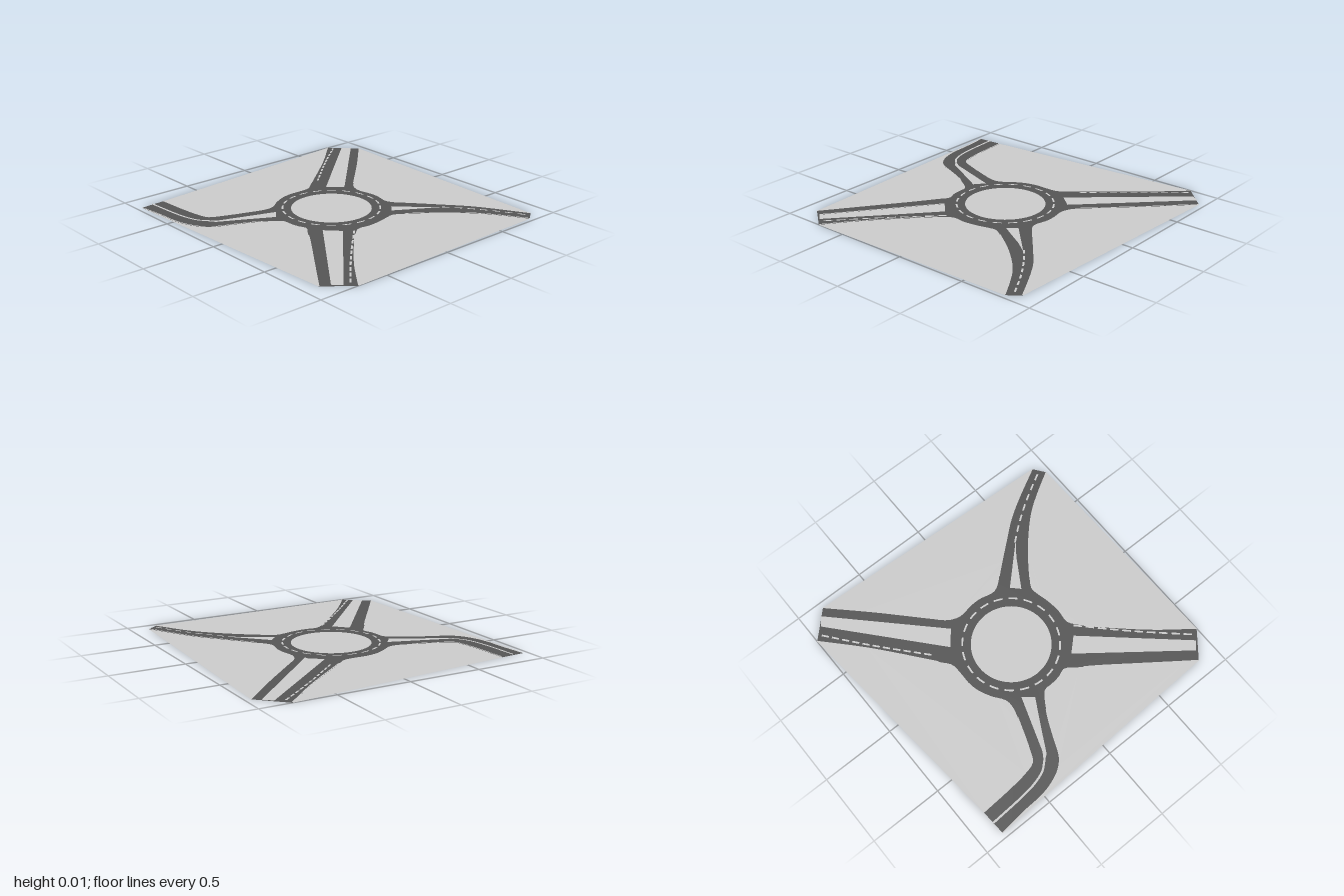
import * as THREE from 'three';

const material = (color) => new THREE.MeshStandardMaterial({ color, side: THREE.DoubleSide });
const grey = material(0xcccccc);
const dark = material(0x555555);
const white = material(0xffffff);
const CENTER = new THREE.Vector2(-0.03, -0.02);

// Points are written as [x, z]
const vec = (list) => list.map(([x, z]) => new THREE.Vector2(x, z));

// Smooth curve through a list of points, as evenly spaced samples
function smooth(list, n = 80) {
  const curve = new THREE.CatmullRomCurve3(list.map(([x, z]) => new THREE.Vector3(x, 0, z)));
  return curve.getSpacedPoints(n).map((p) => new THREE.Vector2(p.x, p.z));
}

// Horizontal flat sheet bounded by points
function sheet(name, points, y, mat) {
  const shape = new THREE.Shape(points.map((p) => new THREE.Vector2(p.x, -p.y)));
  const geo = new THREE.ShapeGeometry(shape).rotateX(-Math.PI / 2).translate(0, y, 0);
  const mesh = new THREE.Mesh(geo, mat);
  mesh.name = name;
  return mesh;
}

// Strip of constant width along a row of points
function ribbon(name, pts, width, mat, y = 0.006) {
  const sides = [[], []];
  pts.forEach((p, i) => {
    const a = pts[Math.max(i - 1, 0)], b = pts[Math.min(i + 1, pts.length - 1)];
    const d = b.clone().sub(a).normalize().multiplyScalar(width / 2);
    sides[0].push(new THREE.Vector2(p.x - d.y, p.y + d.x));
    sides[1].push(new THREE.Vector2(p.x + d.y, p.y - d.x));
  });
  return sheet(name, [...sides[0], ...sides[1].reverse()], y, mat);
}

// Row of painted dashes along a path
function dashes(name, list, count, fill = 0.6) {
  const group = new THREE.Group();
  group.name = name;
  const n = 10;
  const pts = smooth(list, count * n);
  for (let i = 0; i < count; i++) {
    group.add(ribbon('dash', pts.slice(i * n, i * n + Math.round(n * fill) + 1), 0.012, white));
  }
  return group;
}

const circle = (r, n) => Array.from({ length: n }, (_, i) => {
  const a = (i / n) * Math.PI * 2;
  return new THREE.Vector2(CENTER.x + r * Math.cos(a), CENTER.y + r * Math.sin(a));
});

export function createModel() {
  const model = new THREE.Group();
  model.name = 'roundabout';

  // Outer road edges, each running from one arm's end to the next arm's end
  const borders = {
    back: [[-.79, -.86], [-.775, -.62], [-.76, -.5], [-.735, -.42], [-.655, -.38], [-.52, -.33],
      [-.37, -.285], [-.31, -.29], [-.23, -.345], [-.15, -.385], [-.07, -.403], [.03, -.403],
      [.1, -.41], [.165, -.46], [.27, -.545], [.4, -.65], [.56, -.785], [.79, -1]],
    left: [[.96, -.83], [.72, -.585], [.56, -.43], [.43, -.305], [.365, -.24], [.335, -.16],
      [.35, -.05], [.35, .02], [.33, .12], [.35, .17], [.42, .25], [.56, .415], [.675, .555],
      [.76, .69], [.88, .91]],
    front: [[.8, .97], [.72, .835], [.64, .715], [.56, .625], [.43, .505], [.32, .42], [.19, .335],
      [.14, .34], [.06, .36], [-.05, .372], [-.14, .365], [-.205, .41], [-.39, .6], [-.55, .78],
      [-.72, 1]],
    right: [[-.895, .86], [-.79, .715], [-.655, .53], [-.52, .345], [-.42, .2], [-.38, .14],
      [-.4, .08], [-.41, 0], [-.41, -.045], [-.445, -.08], [-.55, -.145], [-.68, -.205],
      [-.815, -.265], [-.87, -.32], [-.91, -.4], [-.935, -.5], [-.945, -.66], [-.965, -.85]],
  };

  // Ground between the arms, with painted edge lines along each arm
  const roadOutline = [];
  for (const [side, list] of Object.entries(borders)) {
    const edge = smooth(list);
    roadOutline.push(...edge);
    model.add(sheet(`${side}Ground`, edge, 0, grey));
    const isRing = (p) => p.distanceTo(CENTER) < 0.48;
    const first = edge.findIndex(isRing);
    const last = edge.length - [...edge].reverse().findIndex(isRing);
    model.add(ribbon(`${side}EdgeLineA`, edge.slice(0, first), 0.007, white, 0.004));
    model.add(ribbon(`${side}EdgeLineB`, edge.slice(last), 0.007, white, 0.004));
  }

  // Asphalt for the ring and the four arms
  model.add(sheet('asphalt', roadOutline, 0, dark));

  // Islands
  model.add(sheet('centralIsland', circle(0.266, 64), 0.003, grey));
  const medians = {
    backRightMedian: [[-.79, -.37], [-.72, -.325], [-.355, -.2], [-.41, -.13], [-.6, -.235], [-.75, -.315]],
    backLeftMedian: [[.205, -.345], [.86, -.92], [.915, -.88], [.3, -.265]],
    frontLeftMedian: [[.285, .225], [.53, .475], [.43, .4], [.23, .28]],
    frontRightMedian: [[-.33, .245], [-.245, .335], [-.78, .94], [-.83, .895]],
  };
  for (const [name, list] of Object.entries(medians)) model.add(sheet(name, vec(list), 0.003, grey));

  // Solid lane lines
  model.add(ribbon('backRightLaneLine',
    smooth([[-.88, -.855], [-.865, -.61], [-.85, -.5], [-.82, -.41], [-.77, -.35]], 40), 0.014, grey));
  model.add(ribbon('backLeftMedianLine', vec([[.915, -.88], [.3, -.265]]), 0.008, white));
  model.add(ribbon('frontRightMedianLine', vec([[-.33, .245], [-.83, .895]]), 0.008, white));

  // Dashed lane lines
  model.add(dashes('backLeftDashes', [[.24, -.475], [.53, -.73], [.82, -.965]], 11, 0.7));
  model.add(dashes('frontLeftDashes', [[.52, .46], [.61, .57], [.72, .73], [.84, .94]], 7));
  model.add(dashes('frontRightDashes', [[-.19, .38], [-.47, .66], [-.75, .965]], 10, 0.7));

  // Dashes around the ring
  const ring = circle(0.322, 200);
  const ringDashes = new THREE.Group();
  ringDashes.name = 'ringDashes';
  for (let i = 0; i < 200; i += 10) ringDashes.add(ribbon('dash', ring.slice(i, i + 7), 0.012, white));
  model.add(ringDashes);

  return model;
}
